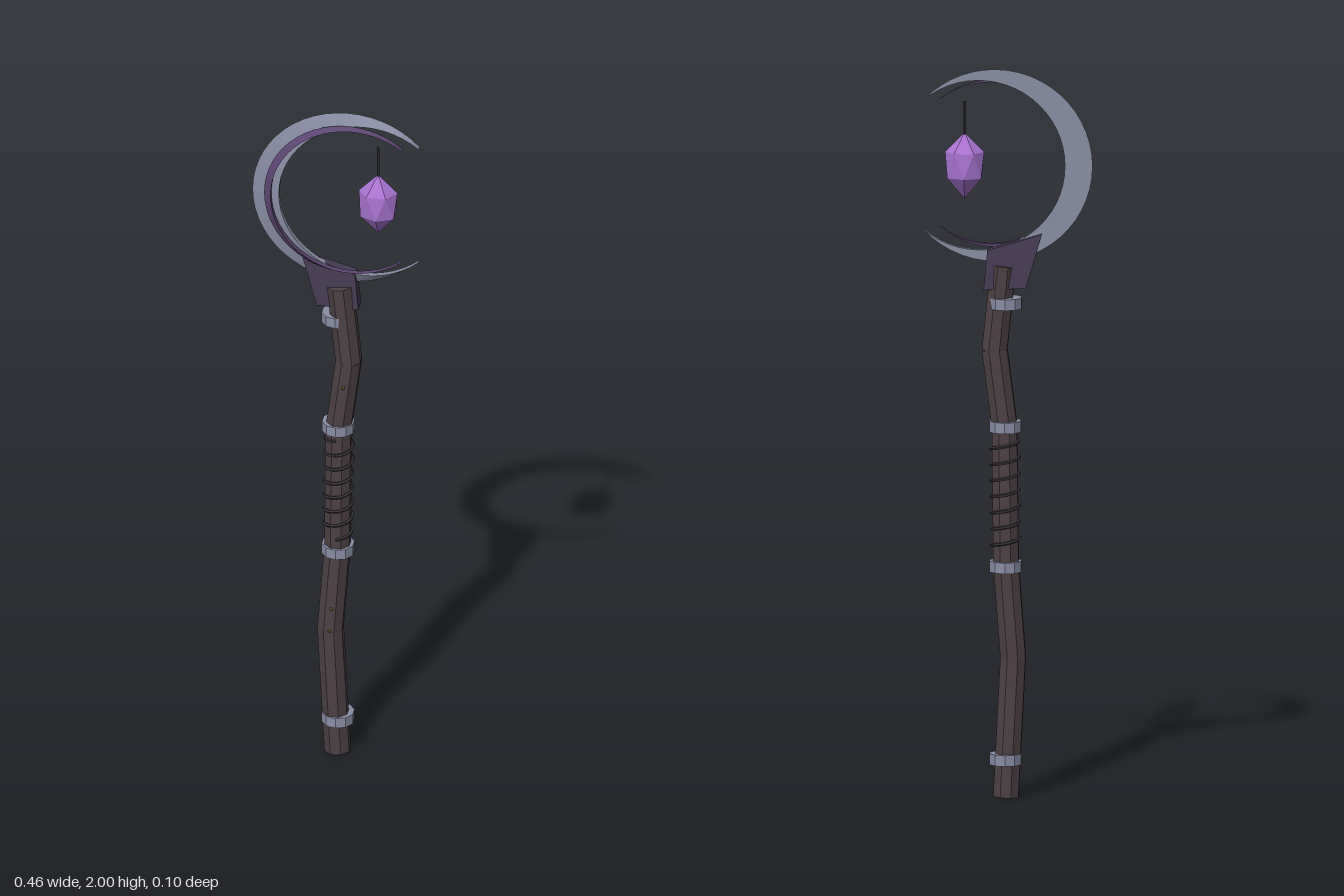
import * as THREE from 'three';
import { ConvexGeometry } from 'three/addons/geometries/ConvexGeometry.js';

const V = (x, y, z) => new THREE.Vector3(x, y, z);

function material(name, color) {
  const m = new THREE.MeshStandardMaterial({ color, flatShading: true });
  m.name = name;
  return m;
}

// Crescent with a wedge section: thin outer edge at the back, thick inner edge.
// Both arcs run from the upper tip round the left side to the lower tip.
function crescentGeometry(tipX, tipY, outerLeft, innerLeft, cy, zBack, zFront) {
  const arc = (left) => {
    const c = (tipX * tipX + tipY * tipY - left * left) / (2 * (tipX - left));
    const r = c - left;
    const a = Math.atan2(tipY, tipX - c);
    return (t, z) => {
      const angle = a + (2 * Math.PI - 2 * a) * t;
      return V(c + r * Math.cos(angle), cy + r * Math.sin(angle), z);
    };
  };
  const outer = arc(outerLeft), inner = arc(innerLeft);
  const n = 40, pos = [];
  const section = (t) => [outer(t, zBack), inner(t, zFront), inner(t, zBack)];
  for (let i = 0; i < n; i++) {
    const p = section(i / n), q = section((i + 1) / n);
    for (let k = 0; k < 3; k++) {
      const l = (k + 1) % 3;
      for (const v of [p[k], q[k], q[l], p[k], q[l], p[l]]) pos.push(v.x, v.y, v.z);
    }
  }
  const g = new THREE.BufferGeometry();
  g.setAttribute('position', new THREE.Float32BufferAttribute(pos, 3));
  g.computeVertexNormals();
  return g;
}

export function createModel() {
  const wood = material('dark wood', 0x4d4145);
  const metal = material('grey metal', 0x8a8ea6);
  const bracketMat = material('dark violet metal', 0x463b54);
  const inlayMat = material('violet inlay', 0x5c4672);
  const gemMat = material('violet crystal', 0xa873d0);
  const cord = material('dark cord', 0x353038);
  const moss = material('moss', 0x6b6440);

  const group = new THREE.Group();
  const add = (name, geometry, mat, x = 0, y = 0, z = 0) => {
    const mesh = new THREE.Mesh(geometry, mat);
    mesh.name = name;
    mesh.position.set(x, y, z);
    group.add(mesh);
    return mesh;
  };

  // Crooked shaft: straight eight-sided pieces between the bends
  const bends = [V(0.005, 0.003, 0), V(-0.014, 0.385, 0.002), V(0.005, 0.64, 0),
    V(0.009, 1.02, 0), V(0.036, 1.23, 0.002), V(0.012, 1.46, 0)];
  for (let i = 0; i < bends.length - 1; i++) {
    const a = bends[i], b = bends[i + 1];
    const shaft = add('shaft', new THREE.CylinderGeometry(0.037, 0.037, a.distanceTo(b) + 0.004, 8), wood);
    shaft.position.lerpVectors(a, b, 0.5);
    shaft.quaternion.setFromUnitVectors(V(0, 1, 0), b.clone().sub(a).normalize());
    shaft.rotateY(Math.PI / 8);
  }

  // Metal bands
  for (const [x, y, z] of [[0.006, 0.105, -0.002], [0.006, 0.635, -0.002], [0.007, 1.02, -0.002], [0.005, 1.36, -0.007]])
    add('band', new THREE.CylinderGeometry(0.045, 0.045, 0.03, 10), metal, x, y, z);

  // Cord wound round the grip
  const turns = 7, winding = [];
  for (let i = 0; i <= turns * 12; i++) {
    const t = i / (turns * 12), a = t * turns * Math.PI * 2;
    winding.push(V(0.006 + 0.003 * t + 0.038 * Math.sin(a), 0.68 + 0.31 * t, 0.038 * Math.cos(a)));
  }
  add('gripCord', new THREE.TubeGeometry(new THREE.CatmullRomCurve3(winding), turns * 16, 0.005, 5), cord);

  // Small moss specks on the shaft
  for (const [x, y] of [[-0.012, 0.39], [-0.006, 0.46], [0.026, 1.16]])
    add('mossSpeck', new THREE.IcosahedronGeometry(0.006, 0), moss, x, y, 0.037);

  // Bracket joining shaft and crescent, tapering to a thin top edge
  const corners = [];
  for (const [x, y, zb, zf] of [[-0.093, 1.55, -0.014, 0.004], [0.055, 1.505, -0.022, 0.012],
    [0.065, 1.398, -0.028, 0.018], [-0.05, 1.402, -0.028, 0.018]])
    corners.push(V(x, y, zb), V(x, y, zf));
  add('bracket', new ConvexGeometry(corners), bracketMat);

  // Crescent blade and its inlay in front
  add('crescent', crescentGeometry(0.229, 0.178, -0.23, -0.155, 1.737, -0.006, 0.01), metal);
  add('crescentInlay', crescentGeometry(0.185, 0.175, -0.195, -0.175, 1.74, 0.012, 0.028), inlayMat);

  // Hanging crystal: two staggered rings between two points
  const gem = [V(0, 0.09, 0), V(0, -0.093, 0)];
  for (let k = 0; k < 6; k++) {
    for (const [y, shift] of [[0.036, 0], [-0.034, 0.5]]) {
      const a = (k + shift) * Math.PI / 3;
      gem.push(V(0.053 * Math.cos(a), y, 0.044 * Math.sin(a)));
    }
  }
  add('crystal', new ConvexGeometry(gem), gemMat, 0.118, 1.735, 0.008);
  add('crystalCord', new THREE.CylinderGeometry(0.004, 0.004, 0.1, 6), cord, 0.118, 1.86, 0.008);

  return group;
}
